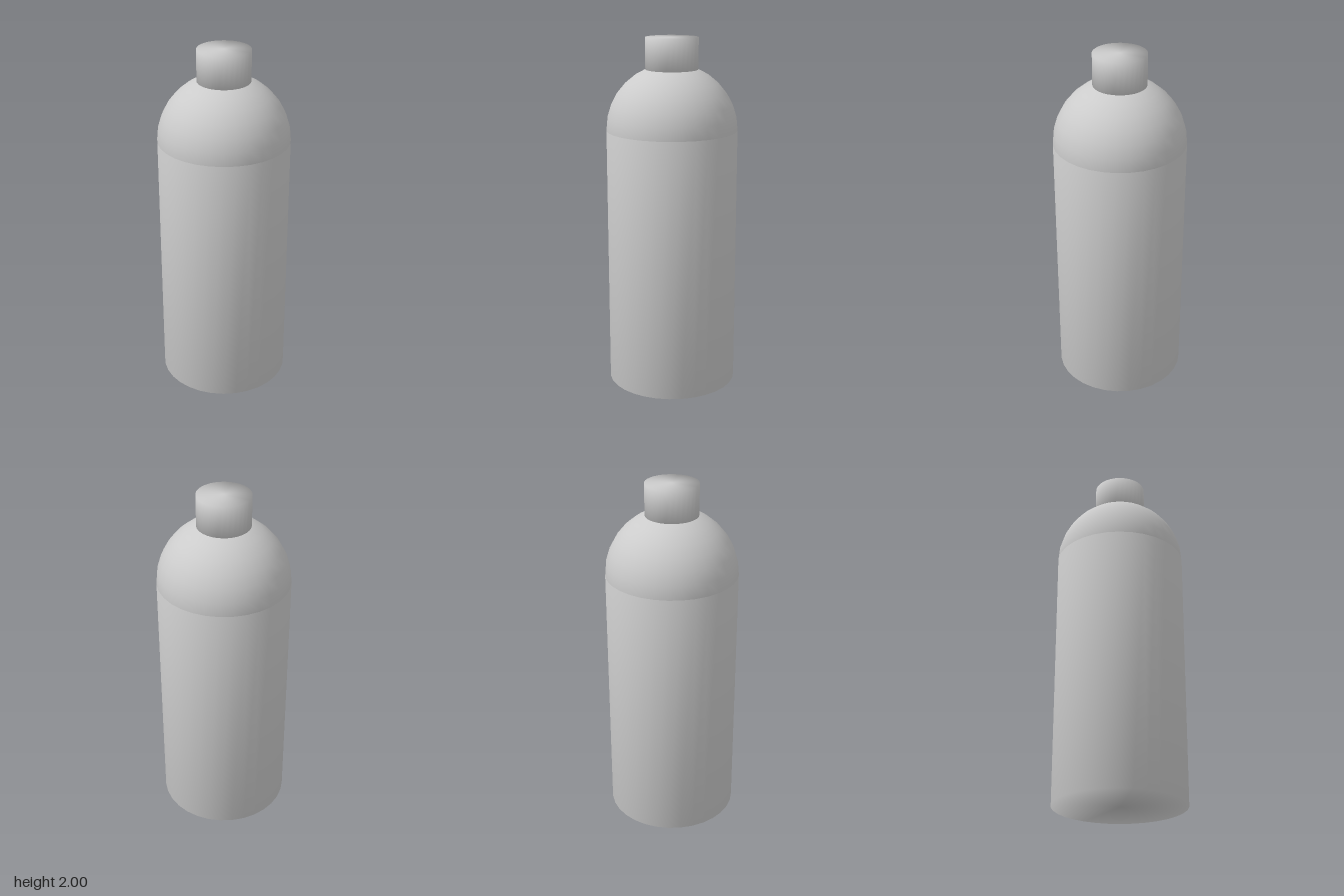
import * as THREE from 'three';
import { mergeVertices } from 'three/addons/utils/BufferGeometryUtils.js';

const SIDES = 32;
const BODY_RADIUS = 0.37, BODY_HEIGHT = 1.485;
const CAP_RADIUS = 0.148, CAP_HEIGHT = 0.185, TOTAL_HEIGHT = 2;

// Weld the rims so shading flows smoothly over the cylinder ends
function smoothCylinder(radius, height) {
  const geometry = new THREE.CylinderGeometry(radius, radius, height, SIDES);
  geometry.deleteAttribute('normal');
  geometry.deleteAttribute('uv');
  const welded = mergeVertices(geometry);
  welded.computeVertexNormals();
  return welded;
}

export function createModel() {
  const group = new THREE.Group();
  group.name = 'bottle';
  const material = new THREE.MeshStandardMaterial({ color: 0xcccccc });

  function addPart(name, geometry, y) {
    const mesh = new THREE.Mesh(geometry, material);
    mesh.name = name;
    mesh.position.y = y;
    group.add(mesh);
  }

  // Straight body standing on the ground
  addPart('body', smoothCylinder(BODY_RADIUS, BODY_HEIGHT), BODY_HEIGHT / 2);

  // Rounded shoulder: upper half of a sphere
  addPart('shoulder',
    new THREE.SphereGeometry(BODY_RADIUS, SIDES, 8, 0, Math.PI * 2, 0, Math.PI / 2),
    BODY_HEIGHT);

  // Cap, sunk slightly into the shoulder
  addPart('cap', smoothCylinder(CAP_RADIUS, CAP_HEIGHT), TOTAL_HEIGHT - CAP_HEIGHT / 2);

  return group;
}
